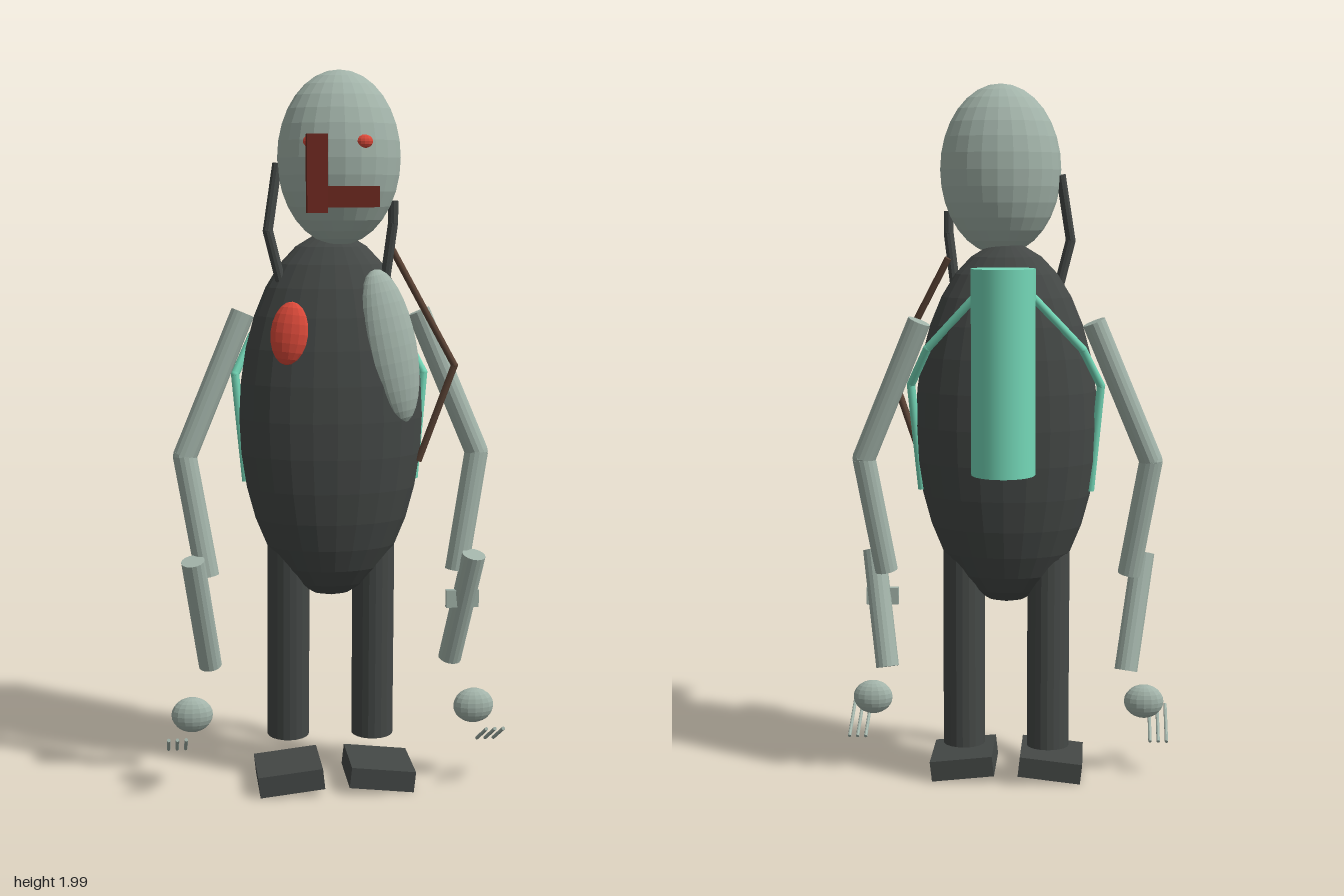
import * as THREE from 'three';

const mat = (name, color, flatShading = false) => {
  const m = new THREE.MeshStandardMaterial({ color, flatShading });
  m.name = name;
  return m;
};

export function createModel() {
  const skin = mat('paleGreyGreen', 0xa2b3a9, true);
  const suit = mat('charcoal', 0x444846, true);
  const red = mat('brightRed', 0xdd4a3a, true);
  const maroon = mat('darkRed', 0x6c281f, true);
  const teal = mat('teal', 0x74d8b8);
  const brown = mat('brown', 0x5c4436);

  const model = new THREE.Group();
  const add = (name, geometry, material, pos = [0, 0, 0], rot = [0, 0, 0]) => {
    const mesh = new THREE.Mesh(geometry, material);
    mesh.name = name;
    mesh.position.set(...pos);
    mesh.rotation.set(...rot);
    model.add(mesh);
    return mesh;
  };

  const ellipsoid = (name, radii, pos, material, rot, w = 20, h = 14) =>
    add(name, new THREE.SphereGeometry(1, w, h).scale(...radii), material, pos, rot);

  const box = (name, size, pos, material, rot) =>
    add(name, new THREE.BoxGeometry(...size), material, pos, rot);

  // Capped rod between two points
  const rod = (name, a, b, r, material, sides = 16) => {
    const from = new THREE.Vector3(...a), to = new THREE.Vector3(...b);
    const dir = to.clone().sub(from);
    const mesh = add(name, new THREE.CylinderGeometry(r, r, dir.length(), sides), material);
    mesh.position.copy(from).add(to).multiplyScalar(0.5);
    mesh.quaternion.setFromUnitVectors(new THREE.Vector3(0, 1, 0), dir.normalize());
  };

  // Bent rod: straight runs with a ball filling each bend
  const bentRod = (name, points, r, material, sides = 16) => {
    for (let i = 0; i + 1 < points.length; i++) {
      rod(name, points[i], points[i + 1], r, material, sides);
      if (i > 0) ellipsoid(name + 'Joint', [r, r, r], points[i], material, [0, 0, 0], 12, 8);
    }
  };

  // Torso and head
  ellipsoid('torso', [0.257, 0.512, 0.167], [0, 1.053, 0.024], suit, [0, 0, 0], 24, 16);
  ellipsoid('head', [0.169, 0.235, 0.146], [0.018, 1.765, 0.058], skin, [0, 0, 0], 24, 16);

  // Face: eyes and the two bars
  for (const s of [-1, 1]) ellipsoid('eye', [0.023, 0.018, 0.015], [s * 0.07, 1.806, 0.19], red, [0, 0, 0], 12, 8);
  box('verticalFaceBar', [0.055, 0.205, 0.02], [-0.058, 1.722, 0.206], maroon, [0, 0.1, 0]);
  box('horizontalFaceBar', [0.15, 0.056, 0.035], [0.035, 1.662, 0.188], maroon, [0, 0.05, 0]);

  // Chest pieces
  ellipsoid('heart', [0.052, 0.086, 0.03], [-0.127, 1.297, 0.148], red, [-0.1, -0.3, -0.12], 14, 10);
  ellipsoid('chestPatch', [0.08, 0.215, 0.055], [0.15, 1.255, 0.115], skin, [-0.1, 0.35, 0.2], 24, 16);

  // Hoses beside the neck
  bentRod('neckHose', [[-0.15, 1.75, 0.05], [-0.178, 1.57, 0.07], [-0.14, 1.42, 0.065]], 0.014, suit, 10);
  bentRod('neckHose', [[0.165, 1.65, 0.075], [0.165, 1.59, 0.07], [0.145, 1.43, 0.06]], 0.014, suit, 10);

  // Shoulder sling
  bentRod('sling', [[0.165, 1.52, 0.048], [0.335, 1.2, 0.095], [0.24, 0.93, 0.07]], 0.01, brown, 8);

  // Back tank and its straps
  add('backTank', new THREE.CylinderGeometry(0.088, 0.088, 0.563, 32), teal, [0, 1.218, -0.132]);

  for (const s of [-1, 1]) {
    const at = (x, y, z) => [s * x, y, z];
    bentRod('tankStrap', [at(0.08, 1.42, -0.09), at(0.215, 1.275, -0.055),
      at(0.266, 1.17, -0.012), at(0.238, 0.87, 0.005)], 0.012, teal, 8);

    // Arms: bent upper part and a separate lower part
    bentRod('upperArm', [at(0.245, 1.345, 0.02), at(0.41, 0.95, 0.045), at(0.352, 0.615, 0.072)], 0.033, skin);
    rod('lowerArm', at(0.393, 0.668, 0.115), at(0.345, 0.342, 0.018), 0.033, skin);

    // Hands and fingers
    ellipsoid('hand', [0.058, 0.05, 0.034], at(0.4, 0.225, 0.1), skin, [0, 0, 0], 16, 12);
    for (const x of [0.419, 0.443, 0.467])
      rod('finger', at(x, 0.186, 0.197), at(x, 0.114, 0.065), 0.005, skin, 8);

    // Legs and feet
    rod('leg', at(0.121, 0.72, 0.022), at(0.121, 0.125, s * 0.007 - 0.002), 0.06, suit, 20);
    box('foot', [0.182, 0.059, 0.2], at(0.128, 0.045, 0.09), suit, [0, 0, -s * 0.11]);
  }

  // Wrist band on the left arm
  box('wristBand', [0.093, 0.05, 0.017], [0.366, 0.536, 0.088], skin);

  return model;
}
